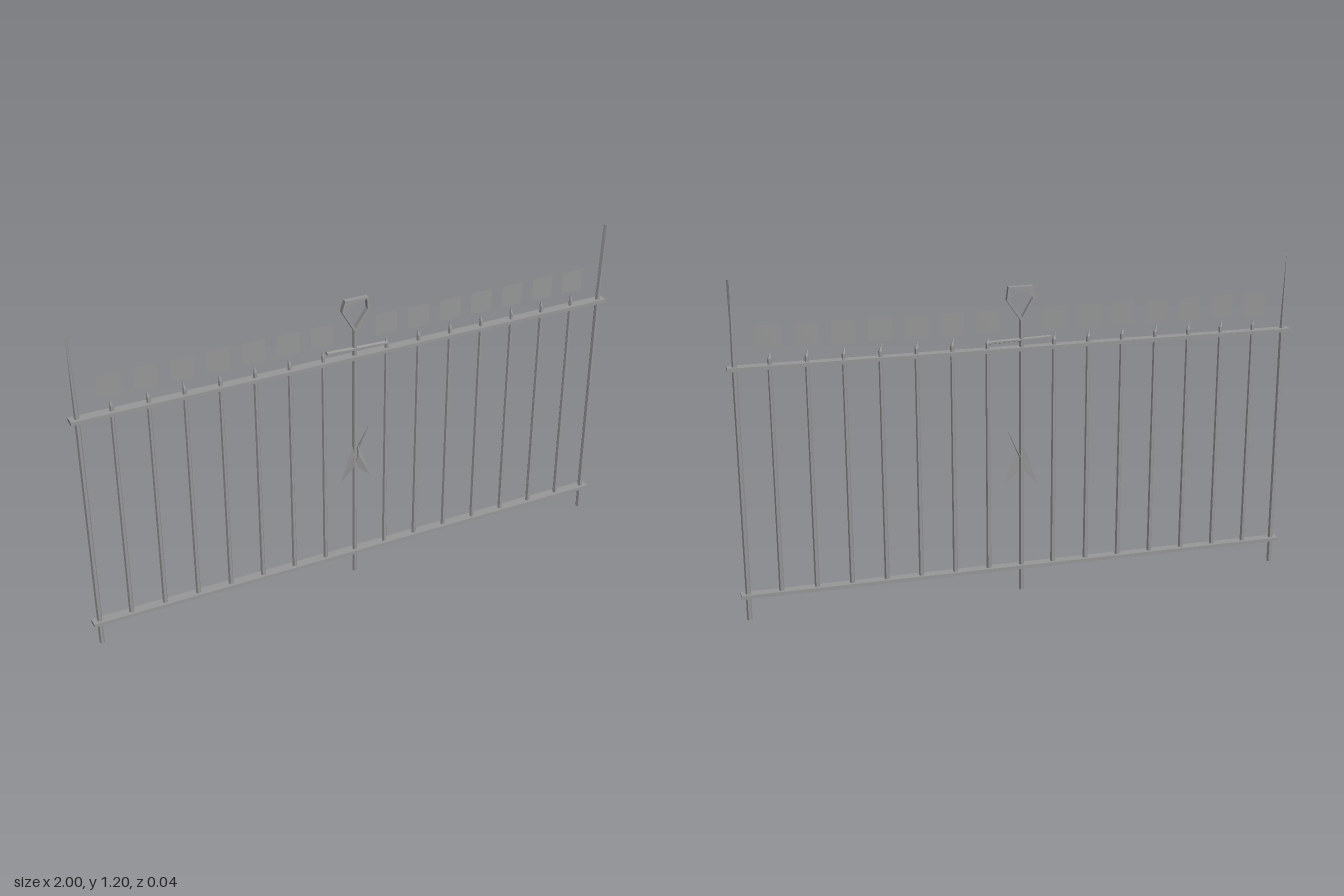
import * as THREE from 'three';

const mat = new THREE.MeshStandardMaterial({ color: 0x979797, flatShading: true, side: THREE.DoubleSide });

export function createModel() {
  const model = new THREE.Group();
  const add = (name, geo, x = 0, y = 0, z = 0) => {
    const m = new THREE.Mesh(geo, mat);
    m.name = name;
    m.position.set(x, y, z);
    model.add(m);
    return m;
  };
  // Six-sided rod geometry with corners facing sideways
  const hexGeo = (rTop, rBottom, h) => new THREE.CylinderGeometry(rTop, rBottom, h, 6).rotateY(Math.PI / 6);
  // Upright rod between two heights
  const rod = (name, x, y0, y1, rTop, rBottom) =>
    add(name, hexGeo(rTop, rBottom, y1 - y0), x, (y0 + y1) / 2);
  // Reshape the upper corners of a geometry by a rule (x, z) => [x, z]
  const bendTop = (geo, rule) => {
    const p = geo.attributes.position;
    for (let k = 0; k < p.count; k++) {
      if (p.getY(k) <= 0) continue;
      const [x, z] = rule(p.getX(k), p.getZ(k));
      p.setX(k, x);
      p.setZ(k, z);
    }
    geo.computeVertexNormals();
    return geo;
  };
  // Tapered rod between two points, scaled in z by a factor
  const strut = (name, a, b, rA, rB, zScale) => {
    const d = new THREE.Vector2(b[0] - a[0], b[1] - a[1]);
    const m = add(name, hexGeo(rB, rA, d.length()).scale(1, 1, zScale), (a[0] + b[0]) / 2, (a[1] + b[1]) / 2);
    m.rotation.z = d.angle() - Math.PI / 2;
  };
  const toPoints = list => list.map(p => new THREE.Vector2(...p));

  // Flat horizontal rails
  add('lowerRail', new THREE.BoxGeometry(2, 0.013, 0.036), 0, 0.091);
  add('upperRail', new THREE.BoxGeometry(2, 0.013, 0.036), 0, 0.903);

  for (const side of [-1, 1]) {
    // End post, drawn out into a thin blade turned at an angle
    rod('endPost', side * 0.975, 0, 0.905, 0.009, 0.0095);
    const point = bendTop(hexGeo(0.009, 0.009, 0.3),
      (x, z) => [side * (0.005 + 0.5 * z) + 0.08 * x, 0.6 * z]);
    add('endPostPoint', point, side * 0.975, 1.05);

    // Thin balusters, each with a slanted tip and a square panel above
    for (let i = 0; i < 7; i++) {
      const bx = side * (0.119 + i * 0.1235);
      rod('baluster', bx, 0.09, 0.93, 0.0072, 0.009);
      const tip = bendTop(hexGeo(0.0005, 0.0078, 0.025), (x, z) => [x - 0.004, z]);
      add('balusterTip', tip, bx, 0.9415);
      add('squarePanel', new THREE.PlaneGeometry(0.082, 0.082), bx - 0.002, 1.003);
    }
  }

  // Central post and its forged loop
  rod('centrePost', -0.002, 0, 1.012, 0.009, 0.0095);
  const loop = new THREE.Shape(toPoints(
    [[-0.002, 0.995], [0.052, 1.075], [0.046, 1.122], [-0.04, 1.122], [-0.052, 1.083]]));
  loop.holes.push(new THREE.Path(toPoints(
    [[-0.002, 1.014], [-0.041, 1.081], [-0.023, 1.1], [0.04, 1.115], [0.043, 1.078]])));
  add('loopHead', new THREE.ExtrudeGeometry(loop, { depth: 0.018, bevelEnabled: false }), 0, 0, -0.009);

  // Short cross piece above the upper rail
  strut('crossArm', [-0.107, 0.938], [0, 0.934], 0.005, 0.006, 2);
  strut('crossArm', [0, 0.934], [0.117, 0.93], 0.006, 0.006, 1.6);

  // Three-bladed ornament halfway up the post
  const blade = (tip, inner, apex) => {
    const g = new THREE.BufferGeometry();
    const v = [[...tip, 0.002], [...inner, 0.006], [...apex, 0.004],
      [inner[0] * 0.35 + apex[0] * 0.65, inner[1] * 0.35 + apex[1] * 0.65, 0.014]];
    // Corner order follows the side the blade is on
    const faces = tip[0] < 0 ? [[0, 1, 3], [0, 3, 2], [1, 2, 3], [0, 2, 1]]
      : [[0, 3, 1], [0, 2, 3], [1, 3, 2], [0, 1, 2]];
    g.setAttribute('position', new THREE.Float32BufferAttribute(faces.flat().flatMap(i => v[i]), 3));
    g.computeVertexNormals();
    add('ornamentBlade', g);
  };
  blade([-0.061, 0.4], [-0.002, 0.463], [-0.012, 0.545]);
  blade([0.06, 0.403], [-0.002, 0.463], [0.01, 0.545]);
  strut('ornamentSpike', [0.004, 0.51], [0.05, 0.61], 0.0035, 0.0004, 3);

  return model;
}
